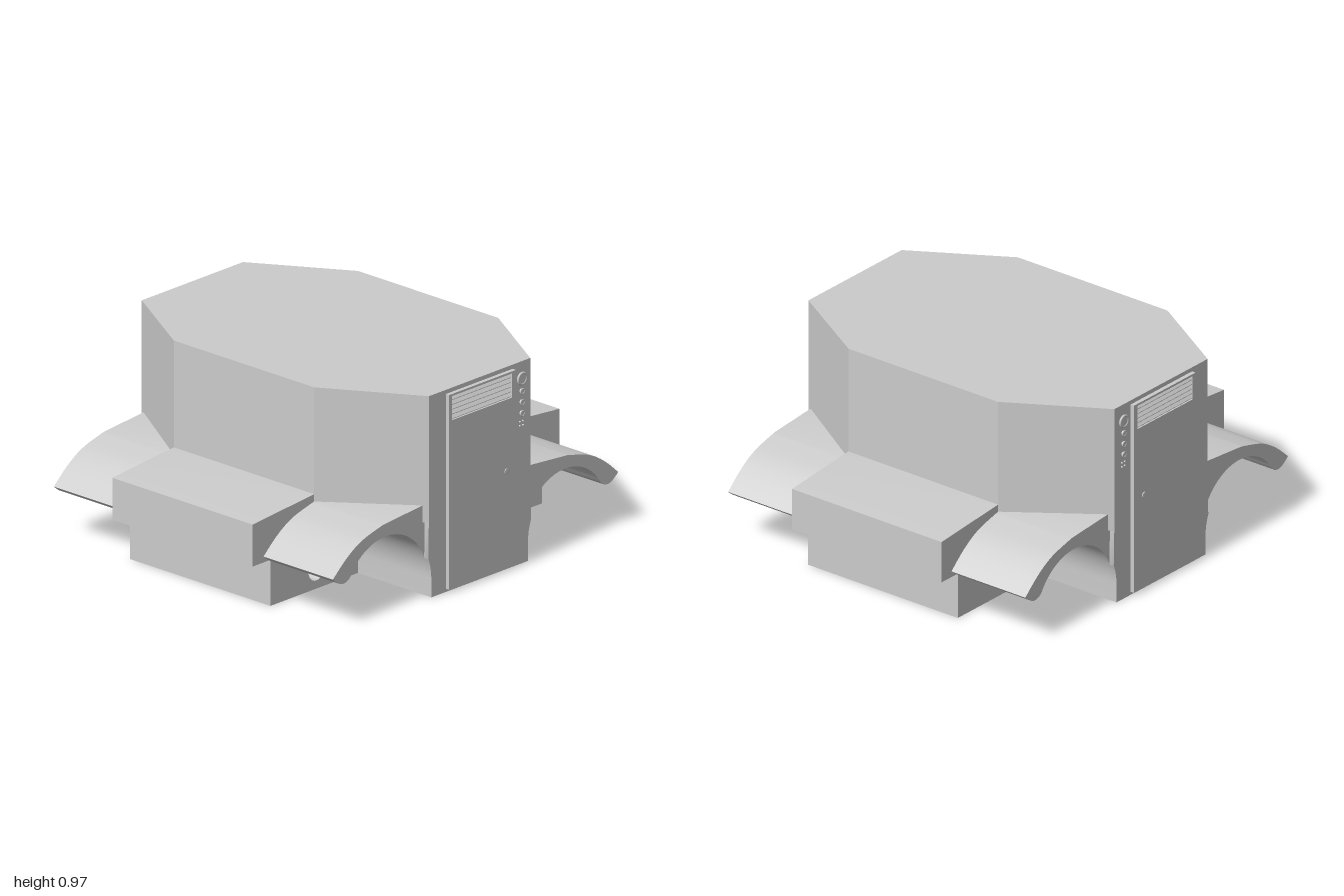
import * as THREE from 'three';
import { toCreasedNormals } from 'three/addons/utils/BufferGeometryUtils.js';

const material = new THREE.MeshStandardMaterial({ color: 0xcccccc });
const V = (x, y) => new THREE.Vector2(x, y);

function part(parent, name, geometry, x = 0, y = 0, z = 0) {
  const mesh = new THREE.Mesh(geometry, material);
  mesh.name = name;
  mesh.position.set(x, y, z);
  parent.add(mesh);
  return mesh;
}

// Outline symmetric about x = 0 from its +x half, listed bottom to top
const symmetric = (half) =>
  new THREE.Shape([...half, ...half.slice().reverse().map((p) => V(-p.x, p.y))]);

const extrude = (shape, depth) => toCreasedNormals(
  new THREE.ExtrudeGeometry(shape, { depth, bevelEnabled: false, curveSegments: 32 }), 0.6);

function circleHole(x, y, r) {
  const path = new THREE.Path();
  path.absarc(x, y, r, 0, Math.PI * 2, true);
  return path;
}

// Wheel arch arc, from angle a to angle b
const wheel = V(0.585, 0.09), archR = 0.27;
function archPoints(a, b, n) {
  return Array.from({ length: n + 1 }, (_, i) => {
    const t = a + (b - a) * i / n;
    return V(wheel.x + archR * Math.cos(t), wheel.y + archR * Math.sin(t));
  });
}

// Door, vents, handle and lamp column of one end
function createEnd() {
  const end = new THREE.Group();
  const face = 0.88;

  // Door panel with a vent opening
  const door = new THREE.Shape([V(-0.22, 0.015), V(0.215, 0.015), V(0.215, 0.945), V(-0.22, 0.945)]);
  door.holes.push(new THREE.Path([V(-0.2, 0.82), V(-0.2, 0.935), V(0.19, 0.935), V(0.19, 0.82)]));
  part(end, 'door', extrude(door, 0.02), 0, 0, face);

  // Sloping vent slats
  const slat = new THREE.Shape([V(0, 0), V(0.015, 0), V(0.015, 0.003), V(0, 0.021)]);
  for (let i = 0; i < 5; i++) {
    const g = new THREE.ExtrudeGeometry(slat, { depth: 0.39, bevelEnabled: false });
    g.rotateY(-Math.PI / 2).translate(0.19, 0.822 + i * 0.0228, face);
    part(end, 'ventSlat', g);
  }

  // Door knob
  const knob = [V(0, 0), V(0.008, 0), V(0.008, 0.005), V(0.014, 0.006), V(0.014, 0.01), V(0, 0.012)];
  part(end, 'doorKnob', toCreasedNormals(new THREE.LatheGeometry(knob, 24).rotateX(Math.PI / 2), 0.5),
    0.15, 0.48, face + 0.018);

  // Large lamp with rim, three buttons and a cluster of four studs
  const disc = (name, r, h, x, y) =>
    part(end, name, new THREE.CylinderGeometry(r, r, h, 24).rotateX(Math.PI / 2), x, y, face + h / 2);
  disc('lamp', 0.024, 0.01, 0.27, 0.885);
  part(end, 'lampRim', new THREE.TorusGeometry(0.026, 0.006, 8, 32), 0.27, 0.885, face + 0.007);
  for (const y of [0.825, 0.772, 0.72]) {
    disc('button', 0.011, 0.01, 0.27, y);
    part(end, 'buttonRim', new THREE.TorusGeometry(0.012, 0.003, 8, 24), 0.27, y, face + 0.009);
  }
  for (const dx of [-0.01, 0.01])
    for (const dy of [-0.01, 0.01]) disc('stud', 0.004, 0.008, 0.27 + dx, 0.67 + dy);
  return end;
}

export function createModel() {
  const model = new THREE.Group();
  model.name = 'vehicleBody';

  // Eight-sided cabin
  const octagon = symmetric([V(0.33, -0.88), V(0.6, -0.43), V(0.6, 0.43), V(0.33, 0.88)]);
  const cabin = new THREE.ExtrudeGeometry(octagon, { depth: 0.605, bevelEnabled: false });
  part(model, 'cabin', cabin.rotateX(-Math.PI / 2), 0, 0.36, 0);

  // Middle hull with side pods and axle bores
  const hull = symmetric([
    V(0.885, 0), V(0.885, 0.22), V(1, 0.22), V(1, 0.42), V(0.6, 0.455),
  ]);
  hull.holes.push(circleHole(wheel.x, wheel.y, 0.051), circleHole(-wheel.x, wheel.y, 0.051));
  part(model, 'hull', extrude(hull, 0.86), 0, 0, -0.43);

  // Fender section: arch below, curved skin above, rounded lip
  const lip = new THREE.SplineCurve([
    V(0.816, 0.229), V(0.84, 0.213), V(0.87, 0.21), V(0.9, 0.224), V(0.93, 0.248),
  ]).getPoints(10);
  const skin = new THREE.SplineCurve([
    V(0.93, 0.248), V(0.84, 0.325), V(0.74, 0.382), V(0.6, 0.42),
  ]).getPoints(16);
  const fender = symmetric([
    V(0.315, 0), ...archPoints(Math.PI, 0.545, 32), ...lip.slice(1), ...skin.slice(1), V(0.33, 0.442),
  ]);

  // Nose wall that carries the door, trimmed by the arch
  const nose = symmetric([
    V(0.315, 0), ...archPoints(Math.PI, Math.PI - 0.385, 8), V(0.33, 0.4),
  ]);

  // Both ends, the rear one mirrored
  for (const s of [1, -1]) {
    part(model, 'fenders', extrude(fender, 0.425), 0, 0, s > 0 ? 0.43 : -0.855);
    part(model, 'endWall', extrude(nose, 0.03), 0, 0, s > 0 ? 0.85 : -0.88);
    const end = createEnd();
    end.name = s > 0 ? 'frontDoorAssembly' : 'rearDoorAssembly';
    end.scale.z = s;
    model.add(end);
  }
  return model;
}
